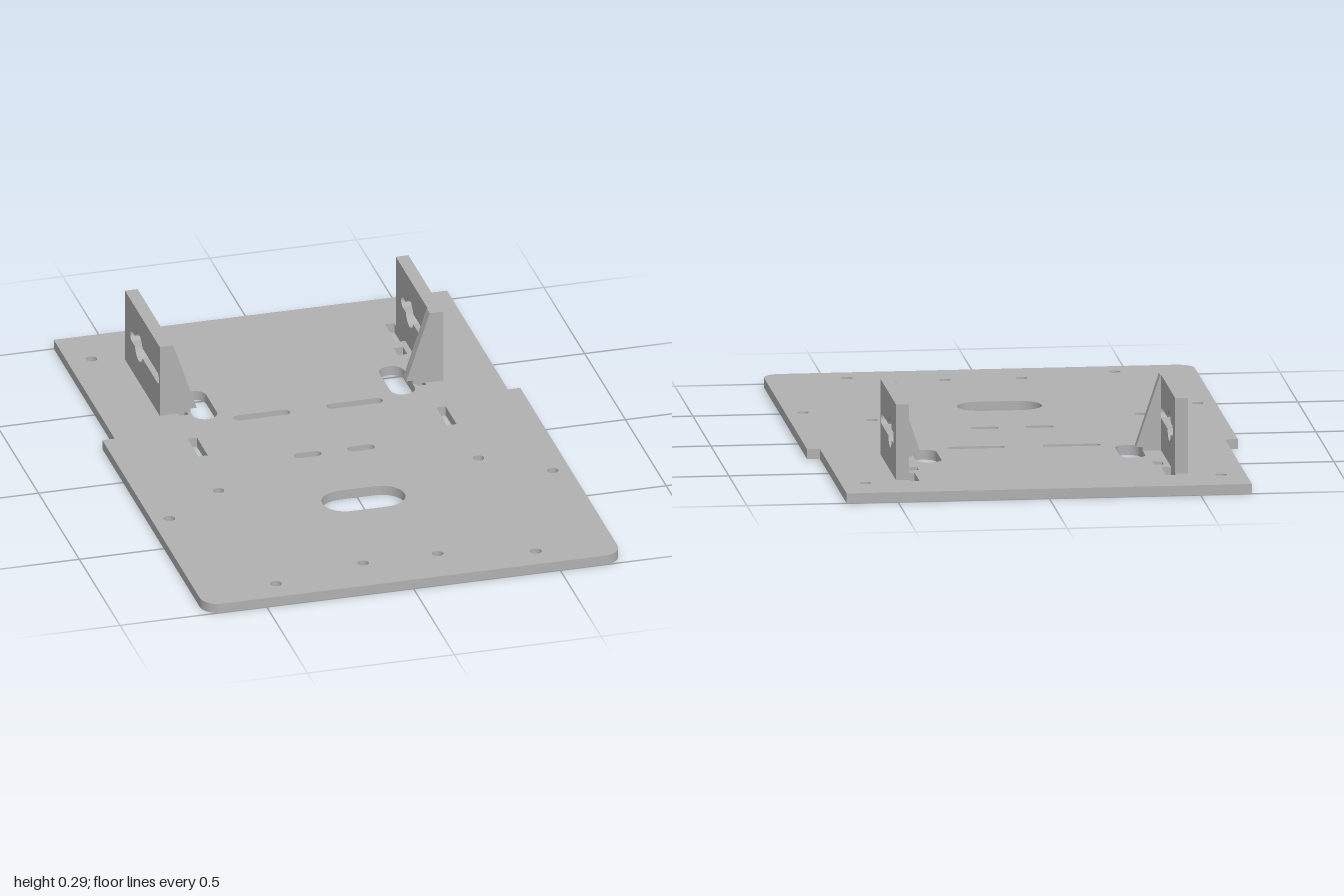
import * as THREE from 'three';

const T = 0.033; // base plate thickness

// Rectangular or round-ended opening, centred on (x, y)
function rectHole(x, y, w, h) {
  const p = new THREE.Path();
  p.moveTo(x - w / 2, y - h / 2);
  p.lineTo(x + w / 2, y - h / 2);
  p.lineTo(x + w / 2, y + h / 2);
  p.lineTo(x - w / 2, y + h / 2);
  p.closePath();
  return p;
}

function slotHole(x, y, w, h) {
  const p = new THREE.Path();
  const r = Math.min(w, h) / 2;
  if (w >= h) {
    p.absarc(x + w / 2 - r, y, r, -Math.PI / 2, Math.PI / 2);
    p.absarc(x - w / 2 + r, y, r, Math.PI / 2, Math.PI * 1.5);
  } else {
    p.absarc(x, y + h / 2 - r, r, 0, Math.PI);
    p.absarc(x, y - h / 2 + r, r, Math.PI, Math.PI * 2);
  }
  p.closePath();
  return p;
}

function roundHole(x, y, r) {
  const p = new THREE.Path();
  p.absarc(x, y, r, 0, Math.PI * 2);
  return p;
}

const extrude = (shape, depth) =>
  new THREE.ExtrudeGeometry(shape, { depth, bevelEnabled: false, curveSegments: 12 });

// Stepped plate with rounded front corners; shape y is world -z
function plateGeometry() {
  const W = 0.712, N = 0.67, R = 0.06;
  const s = new THREE.Shape();
  s.moveTo(-W + R, -1);
  s.lineTo(W - R, -1);
  s.absarc(W - R, -1 + R, R, -Math.PI / 2, 0);
  s.lineTo(W, 0.253);
  s.lineTo(N, 0.253);
  s.lineTo(N, 1);
  s.lineTo(-N, 1);
  s.lineTo(-N, 0.253);
  s.lineTo(-W, 0.253);
  s.lineTo(-W, -1 + R);
  s.absarc(-W + R, -1 + R, R, Math.PI, Math.PI * 1.5);

  s.holes.push(slotHole(0, -0.387, 0.28, 0.153)); // central cable opening
  for (const m of [-1, 1]) {
    // screw holes
    for (const [x, z] of [[0.588, -0.833], [0.443, 0.203], [0.653, 0.356], [0.127, 0.838], [0.443, 0.907]])
      s.holes.push(roundHole(m * x, -z, 0.019));
    // square-ended slots
    for (const [x, z, w, d] of [[0.424, -0.751, 0.032, 0.134], [0.405, -0.616, 0.032, 0.053],
      [0.405, -0.384, 0.032, 0.053], [0.424, -0.121, 0.032, 0.134]])
      s.holes.push(rectHole(m * x, -z, w, d));
    // round-ended slots
    for (const [x, z, w, d] of [[0.337, -0.414, 0.084, 0.212], [0.158, -0.289, 0.19, 0.037], [0.091, 0.029, 0.092, 0.037]])
      s.holes.push(slotHole(m * x, -z, w, d));
  }
  return extrude(s, T).rotateX(-Math.PI / 2);
}

// Upright wall with a keyhole slot; shape x is world z
function wallGeometry() {
  const s = new THREE.Shape();
  s.moveTo(-0.8, T);
  s.lineTo(-0.373, T);
  s.lineTo(-0.373, 0.286);
  s.lineTo(-0.8, 0.286);
  s.closePath();
  const y = 0.16, h = 0.019, R = 0.05, c = -0.632, a = Math.asin(h / R);
  const k = new THREE.Path();
  k.absarc(-0.4, y, h, -Math.PI / 2, Math.PI / 2);
  k.absarc(c, y, R, a, Math.PI - a);
  k.absarc(-0.716, y, h, Math.PI / 2, Math.PI * 1.5);
  k.absarc(c, y, R, Math.PI + a, Math.PI * 2 - a);
  k.closePath();
  s.holes.push(k);
  return extrude(s, 0.043).rotateY(-Math.PI / 2).translate(0.0215, 0, 0);
}

// Sloping rib standing on a small foot
function gussetGeometry(m) {
  const pts = [[0.44, T], [0.44, 0.286], [0.437, 0.286], [0.357, 0.046], [0.378, 0.046], [0.378, T]];
  const s = new THREE.Shape(pts.map(([x, y]) => new THREE.Vector2(m * x, y)));
  return extrude(s, 0.037).translate(0, 0, -0.41);
}

export function createModel() {
  const model = new THREE.Group();
  model.name = 'mountingPlate';
  const grey = new THREE.MeshStandardMaterial({ color: 0xb0b0b0 });
  grey.name = 'grey';

  const add = (parent, name, geometry) => {
    const mesh = new THREE.Mesh(geometry, grey);
    mesh.name = name;
    parent.add(mesh);
    return mesh;
  };

  add(model, 'basePlate', plateGeometry());
  for (const m of [-1, 1]) {
    const bracket = new THREE.Group();
    bracket.name = m > 0 ? 'leftBracket' : 'rightBracket';
    add(bracket, 'slottedWall', wallGeometry()).position.x = m * 0.4615;
    add(bracket, 'gusset', gussetGeometry(m));
    model.add(bracket);
  }
  return model;
}
